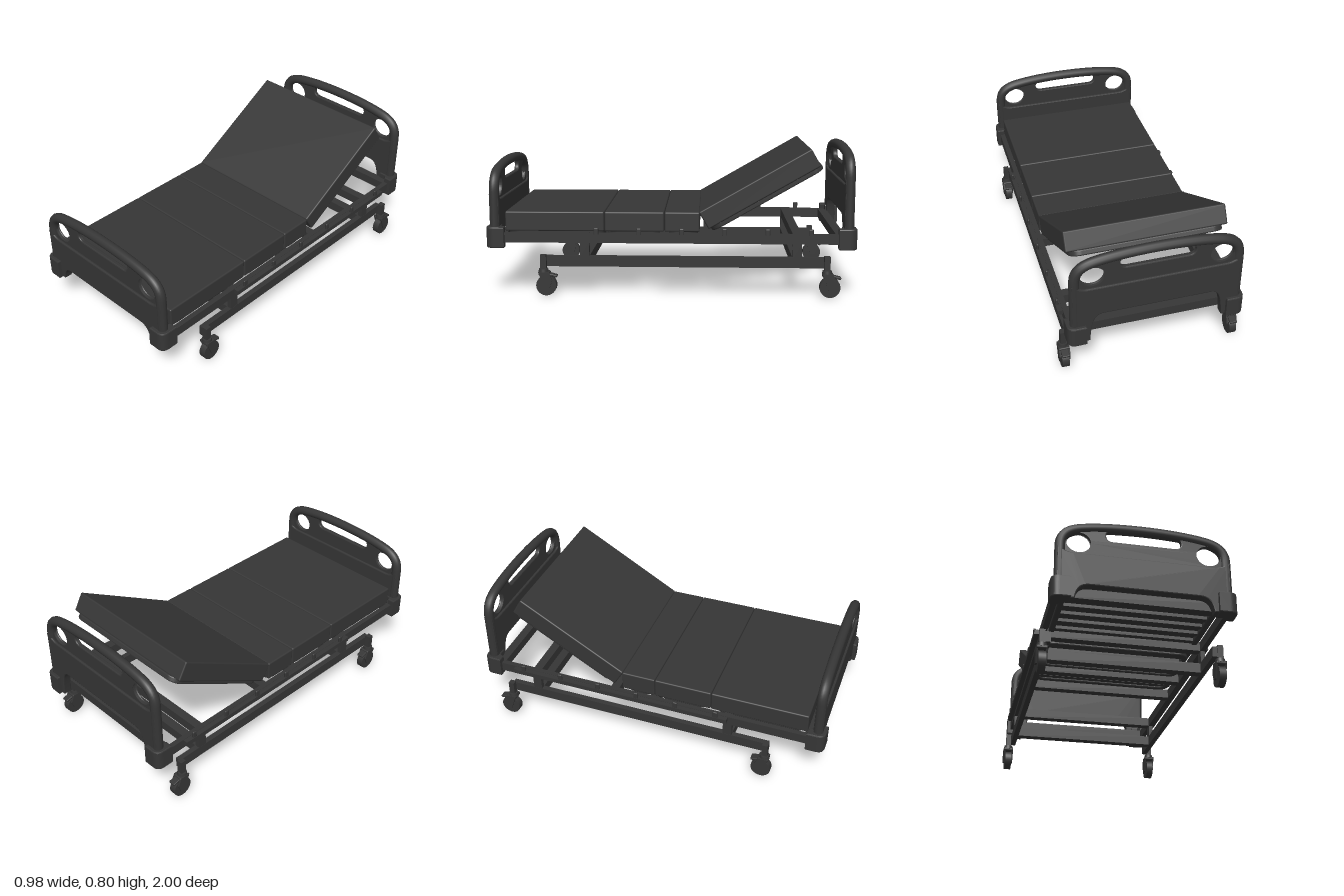
import * as THREE from 'three';
import { RoundedBoxGeometry } from 'three/addons/geometries/RoundedBoxGeometry.js';

const material = new THREE.MeshStandardMaterial({ color: 0x363636, side: THREE.DoubleSide });

function add(parent, name, geometry, x = 0, y = 0, z = 0) {
  const mesh = new THREE.Mesh(geometry, material);
  mesh.name = name;
  mesh.position.set(x, y, z);
  parent.add(mesh);
  return mesh;
}

// Box given by its extents on each axis
function bar(parent, name, [x0, x1], [y0, y1], [z0, z1], radius = 0) {
  const size = [x1 - x0, y1 - y0, z1 - z0];
  const geometry = radius ? new RoundedBoxGeometry(...size, 3, radius) : new THREE.BoxGeometry(...size);
  return add(parent, name, geometry, (x0 + x1) / 2, (y0 + y1) / 2, (z0 + z1) / 2);
}

function extrude(shape, depth) {
  const bevel = 0.006;
  const geometry = new THREE.ExtrudeGeometry(shape, {
    depth: depth - 2 * bevel, bevelThickness: bevel, bevelSize: bevel, bevelOffset: -bevel, bevelSegments: 2, curveSegments: 24,
  });
  return geometry.translate(0, 0, bevel - depth / 2);
}

// Arched outline from the left foot over the top to the right foot
function traceArch(path, half, top, bottom) {
  path.moveTo(-half, bottom);
  path.lineTo(-half, top - 0.14);
  path.bezierCurveTo(-half, top - 0.07, -half + 0.04, top - 0.043, -half + 0.1, top - 0.03);
  path.bezierCurveTo(-0.16, top + 0.004, 0.16, top + 0.004, half - 0.1, top - 0.03);
  path.bezierCurveTo(half - 0.04, top - 0.043, half, top - 0.07, half, top - 0.14);
  path.lineTo(half, bottom);
  return path;
}

// Opening under the panel
function traceOpening(shape, archY) {
  shape.lineTo(0.35, 0.26);
  shape.bezierCurveTo(0.34, archY - 0.02, 0.32, archY, 0.27, archY);
  shape.lineTo(-0.27, archY);
  shape.bezierCurveTo(-0.32, archY, -0.34, archY - 0.02, -0.35, 0.26);
  shape.closePath();
}

function endBoard(name, top, archY, z) {
  const board = new THREE.Group();
  board.name = name;

  // Thin panel with two grip holes and a long slot
  const panel = traceArch(new THREE.Shape(), 0.44, top - 0.01, 0.26);
  traceOpening(panel, archY);
  for (const side of [-1, 1]) {
    const hole = new THREE.Path();
    hole.absellipse(side * 0.333, top - 0.139, 0.068, 0.063, 0, Math.PI * 2, true);
    panel.holes.push(hole);
  }
  const slot = new THREE.Path();
  slot.moveTo(-0.165, top - 0.115);
  slot.absarc(0.162, top - 0.084, 0.031, -Math.PI / 2, Math.PI / 2, false);
  slot.quadraticCurveTo(0, top - 0.046, -0.162, top - 0.053);
  slot.absarc(-0.162, top - 0.084, 0.031, Math.PI / 2, Math.PI * 1.5, false);
  panel.holes.push(slot);
  add(board, 'panel', extrude(panel, 0.026));

  // Thicker lower part
  const lower = new THREE.Shape();
  lower.moveTo(-0.44, 0.26);
  lower.lineTo(-0.44, top - 0.17);
  lower.quadraticCurveTo(-0.4, top - 0.206, -0.36, top - 0.206);
  lower.lineTo(0.36, top - 0.206);
  lower.quadraticCurveTo(0.4, top - 0.206, 0.44, top - 0.17);
  lower.lineTo(0.44, 0.26);
  traceOpening(lower, archY);
  add(board, 'lowerPanel', extrude(lower, 0.05));

  // Round hand rail along the edge
  const points = traceArch(new THREE.Path(), 0.424, top - 0.026, 0.3).getPoints(12);
  const curve = new THREE.CatmullRomCurve3(points.map(p => new THREE.Vector3(p.x, p.y, 0)));
  add(board, 'handRail', new THREE.TubeGeometry(curve, 120, 0.027, 12));

  // Corner bumpers wrapping the feet of the board, rounded on the outside
  const outward = Math.sign(z);
  for (const side of [-1, 1]) {
    const plan = new THREE.Shape();
    plan.moveTo(side * 0.37, outward);
    plan.lineTo(side * 0.425, outward);
    plan.quadraticCurveTo(side * 0.468, outward, side * 0.468, outward * 0.955);
    plan.lineTo(side * 0.468, outward * 0.9);
    plan.lineTo(side * 0.425, outward * 0.9);
    plan.lineTo(side * 0.41, outward * 0.925);
    plan.lineTo(side * 0.37, outward * 0.925);
    plan.closePath();
    const bumper = add(board, 'cornerBumper', extrude(plan, 0.114), 0, 0.313, -z);
    bumper.rotation.x = Math.PI / 2;
  }
  board.position.z = z;
  return board;
}

function roundedRect(path, half, z0, z1, r) {
  path.absarc(half - r, z0 + r, r, -Math.PI / 2, 0, false);
  path.absarc(half - r, z1 - r, r, 0, Math.PI / 2, false);
  path.absarc(-half + r, z1 - r, r, Math.PI / 2, Math.PI, false);
  path.absarc(-half + r, z0 + r, r, Math.PI, Math.PI * 1.5, false);
  path.closePath();
  return path;
}

// Mattress part with its slatted deck; local origin is the top front edge
function section(name, y, z, length, slats, overhang = -0.01) {
  const group = new THREE.Group();
  group.name = name;
  bar(group, 'mattress', [-0.425, 0.425], [-0.107, 0], [-length + 0.001, -0.001], 0.008);
  // Deck frame with rounded corners
  const end = length + overhang;
  const frame = roundedRect(new THREE.Shape(), 0.405, 0.01, end, 0.06);
  frame.holes.push(roundedRect(new THREE.Path(), 0.375, 0.04, end - 0.03, 0.03));
  add(group, 'deckFrame', extrude(frame, 0.03), 0, -0.118, 0).rotation.x = -Math.PI / 2;
  for (let i = 0; i < slats; i++) {
    const at = -0.06 - (length - 0.12) * i / (slats - 1);
    bar(group, 'slat', [-0.39, 0.39], [-0.125, -0.105], [at - 0.016, at + 0.016]);
  }
  group.position.set(0, y, z);
  return group;
}

function castor(x, z) {
  const group = new THREE.Group();
  group.name = 'castor';
  bar(group, 'post', [-0.015, 0.015], [0.14, 0.222], [-0.016, 0.016]);
  add(group, 'swivel', new THREE.CylinderGeometry(0.025, 0.028, 0.022, 20), 0, 0.135, 0);
  const wheel = add(group, 'wheel', new THREE.CylinderGeometry(0.055, 0.055, 0.038, 32), 0, 0.055, -0.016);
  wheel.rotation.z = Math.PI / 2;
  // Fork cheeks, tapering to the axle
  const cheek = new THREE.Shape();
  cheek.moveTo(-0.025, 0.13);
  cheek.lineTo(0.03, 0.13);
  cheek.lineTo(0.05, 0.085);
  cheek.lineTo(0.035, 0.042);
  cheek.lineTo(0.008, 0.042);
  cheek.closePath();
  for (const s of [-1, 1]) {
    const geometry = new THREE.ExtrudeGeometry(cheek, { depth: 0.009, bevelEnabled: false });
    const mesh = add(group, 'forkCheek', geometry, s * 0.0245 - 0.0045, 0, 0);
    mesh.rotation.y = Math.PI / 2;
  }
  bar(group, 'forkCrown', [-0.029, 0.029], [0.112, 0.13], [-0.035, 0.025], 0.006);
  const pedal = bar(group, 'brakePedal', [-0.02, 0.02], [0.104, 0.118], [-0.075, -0.02], 0.004);
  pedal.rotation.x = -0.25;
  group.position.set(x, 0, z);
  return group;
}

export function createModel() {
  const bed = new THREE.Group();
  bed.name = 'adjustableBed';

  bed.add(endBoard('footBoard', 0.721, 0.34, 0.955));
  bed.add(endBoard('headBoard', 0.808, 0.43, -0.956));

  // Mattress sections, the back rest raised
  bed.add(section('legSection', 0.451, 0.9, 0.54, 6));
  bed.add(section('thighSection', 0.451, 0.36, 0.325, 4));
  bed.add(section('seatSection', 0.451, 0.035, 0.192, 3));
  const back = section('backSection', 0.451, -0.15, 0.69, 8, 0.008);
  back.rotation.x = Math.PI / 6;
  bed.add(back);

  for (const side of [-1, 1]) {
    const span = (a, b) => [side * a, side * b].sort((p, q) => p - q);
    bar(bed, 'upperRail', span(0.422, 0.45), [0.285, 0.338], [-0.92, 0.92]);
    bar(bed, 'accessoryRail', span(0.449, 0.477), [0.31, 0.336], [-0.81, 0.465]);
    bar(bed, 'lowerRail', span(0.42, 0.45), [0.155, 0.212], [-0.84, 0.7]);
    for (const z of [0.465, -0.68]) {
      bar(bed, 'upright', span(0.424, 0.449), [0.2, 0.29], [z - 0.025, z + 0.025]);
    }
    // Small rounded pegs standing on the accessory rail
    for (let i = 0; i < 6; i++) {
      const z = 0.4 - 0.23 * i;
      bar(bed, 'railPeg', span(0.461, 0.475), [0.315, 0.371], [z - 0.013, z + 0.013], 0.006);
    }
    bed.add(castor(side * 0.463, 0.688), castor(side * 0.463, -0.84));
  }

  // Cross members of both frames
  for (const z of [0.91, 0.465, 0.035, -0.2, -0.68, -0.91]) {
    bar(bed, 'upperCrossbar', [-0.43, 0.43], [0.286, 0.338], [z - 0.024, z + 0.024]);
  }
  for (const z of [0.465, -0.68]) {
    bar(bed, 'lowerCrossbar', [-0.43, 0.43], [0.156, 0.211], [z - 0.025, z + 0.025]);
  }
  return bed;
}
